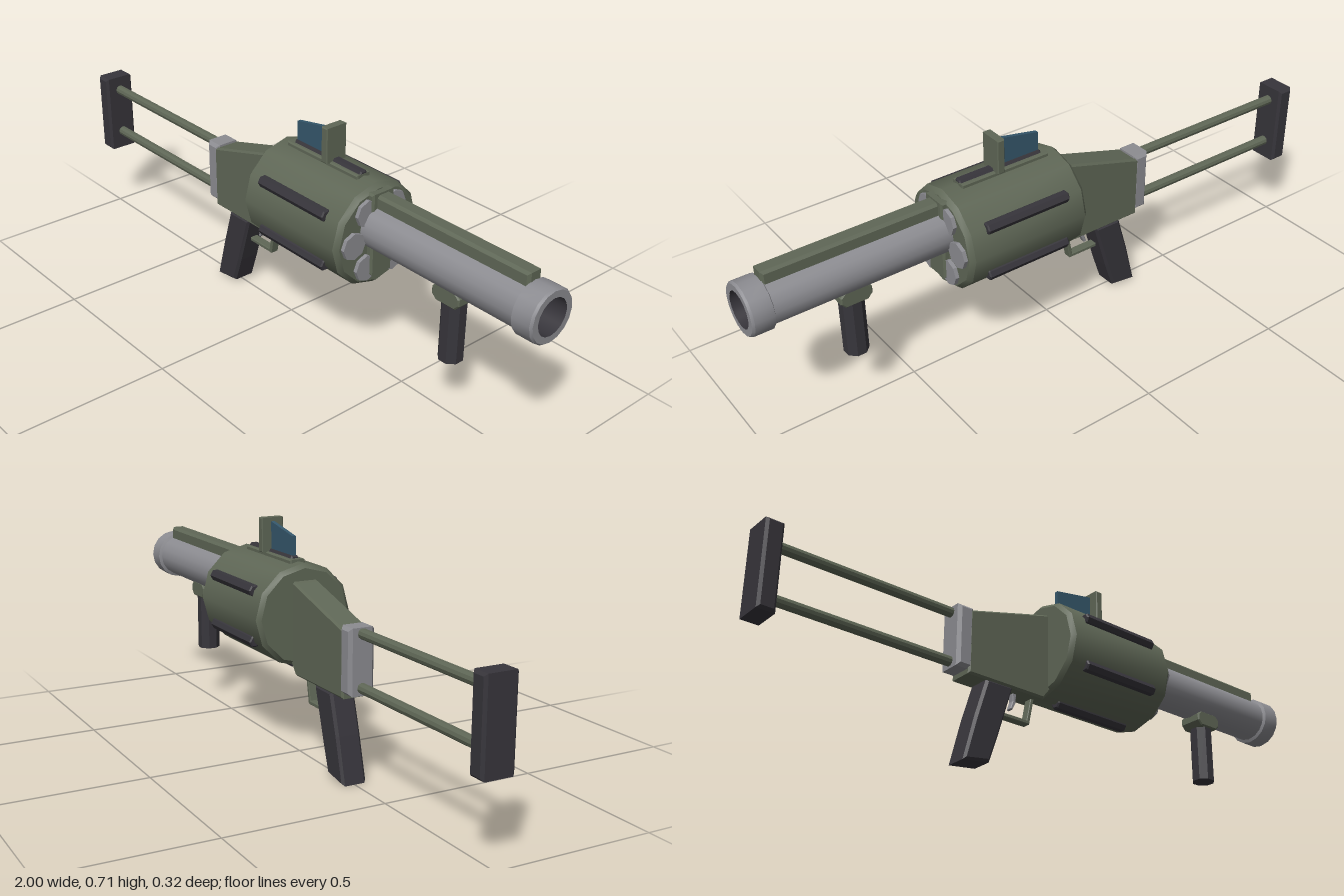
import * as THREE from 'three';
import { toCreasedNormals } from 'three/addons/utils/BufferGeometryUtils.js';

const mat = (name, color) => {
  const m = new THREE.MeshStandardMaterial({ color });
  m.name = name;
  return m;
};

export function createModel() {
  const root = new THREE.Group();
  root.name = 'launcher';
  const green = mat('olive green', 0x5f6756);
  const grey = mat('steel grey', 0x8c8c91);
  const dark = mat('dark rubber', 0x37353b);
  const glass = mat('sight blue', 0x35576b);

  const add = (name, geo, material, x = 0, y = 0, z = 0, parent = root) => {
    const m = new THREE.Mesh(geo, material);
    m.name = name;
    m.position.set(x, y, z);
    parent.add(m);
    return m;
  };

  // Solid turned around the x axis; points are [x, radius]
  const turned = (pts, sides) => {
    const g = new THREE.LatheGeometry(pts.map(([x, r]) => new THREE.Vector2(r, x)), sides);
    g.rotateZ(-Math.PI / 2);
    return toCreasedNormals(g, 0.6);
  };

  // Side profile in x/y given depth along z, with a small bevel
  const slab = (pts, width, bevel = 0.006) => {
    const shape = new THREE.Shape(pts.map(([x, y]) => new THREE.Vector2(x, y)));
    const g = new THREE.ExtrudeGeometry(shape, {
      depth: width - 2 * bevel, bevelEnabled: bevel > 0, bevelSize: bevel,
      bevelThickness: bevel, bevelOffset: -bevel, bevelSegments: 1,
    });
    g.translate(0, 0, -width / 2 + bevel);
    return g;
  };
  const block = (x0, x1, y0, y1, width, bevel) =>
    slab([[x0, y0], [x1, y0], [x1, y1], [x0, y1]], width, bevel);

  // Drum with six chambers and six grip ribs
  const drum = new THREE.Group();
  drum.name = 'drum';
  drum.position.y = 0.44;
  root.add(drum);
  add('drumBody', turned([[-0.035, 0], [-0.035, 0.147], [-0.022, 0.16], [0.365, 0.16],
    [0.38, 0.147], [0.38, 0]], 12), green, 0, 0, 0, drum);
  for (let i = 0; i < 6; i++) {
    const a = i * Math.PI / 3;
    add('chamber', turned([[0.37, 0], [0.37, 0.041], [0.392, 0.041], [0.392, 0]], 8),
      grey, 0, 0.1 * Math.sin(a), 0.1 * Math.cos(a), drum);
    // Rib: trapezoid section running along x
    const rib = slab([[-0.018, 0.148], [0.018, 0.148], [0.018, 0.16], [0.009, 0.174],
      [-0.009, 0.174], [-0.018, 0.16]], 0.285, 0.004);
    rib.rotateY(Math.PI / 2);
    add('drumRib', rib, dark, 0.172, 0, 0, drum).rotation.x = a;
  }
  add('drumFrontBracket', block(0.37, 0.398, 0.325, 0.583, 0.082), green);

  // Barrel, muzzle ring and bore
  add('barrel', turned([[0.38, 0], [0.38, 0.07], [0.94, 0.07]], 16), grey, 0, 0.473);
  add('muzzle', turned([[0.93, 0.068], [0.935, 0.08], [0.993, 0.08], [1, 0.075], [1, 0.055]], 16),
    grey, 0, 0.473);
  add('bore', turned([[1, 0.055], [0.9, 0.055], [0.9, 0]].map(([x, r]) => [x, r]), 24),
    dark, 0, 0.473);
  add('topRail', block(0.385, 0.937, 0.525, 0.577, 0.05, 0.008), green);

  // Foregrip
  add('foregripMount', slab([[0.63, 0.405], [0.63, 0.384], [0.645, 0.368], [0.715, 0.368],
    [0.73, 0.384], [0.73, 0.405], [0.715, 0.42], [0.645, 0.42]], 0.08, 0.004), green);
  const foregrip = new THREE.CylinderGeometry(0.037, 0.037, 0.19, 8).toNonIndexed();
  foregrip.rotateY(Math.PI / 8);
  foregrip.computeVertexNormals();
  add('foregrip', foregrip, dark, 0.68, 0.278);

  // Receiver, rear grip and trigger
  add('receiver', slab([[-0.33, 0.262], [-0.05, 0.262], [-0.02, 0.3], [-0.02, 0.552],
    [-0.05, 0.545], [-0.33, 0.465]], 0.084), green);
  add('rearGrip', slab([[-0.336, 0], [-0.245, 0.012], [-0.215, 0.1], [-0.165, 0.265],
    [-0.262, 0.265], [-0.3, 0.14]], 0.08, 0.008), dark);
  const guard = new THREE.Group();
  guard.name = 'triggerGuard';
  root.add(guard);
  add('guardBottom', block(-0.188, -0.083, 0.178, 0.19, 0.028, 0.002), green, 0, 0, 0, guard);
  add('guardFront', slab([[-0.095, 0.178], [-0.083, 0.178], [-0.066, 0.265], [-0.078, 0.265]],
    0.028, 0.002), green, 0, 0, 0, guard);
  add('trigger', slab([[-0.152, 0.212], [-0.144, 0.21], [-0.132, 0.235], [-0.13, 0.265],
    [-0.145, 0.265], [-0.143, 0.238]], 0.02, 0.002), grey);

  // Stock: collar, two rods and butt pad
  add('stockCollar', block(-0.37, -0.315, 0.277, 0.476, 0.084, 0.01), grey);
  for (const y of [0.3, 0.458]) {
    add('stockRod', turned([[-0.96, 0], [-0.96, 0.016], [-0.35, 0.016], [-0.35, 0]], 10),
      green, 0, y);
  }
  add('buttPad', block(-1, -0.945, 0.238, 0.506, 0.102, 0.008), dark);

  // Sight: base, upright plate and side fin
  add('sightBase', block(0.01, 0.315, 0.585, 0.606, 0.05, 0.004), green);
  add('sightPlate', block(0.175, 0.2, 0.603, 0.712, 0.075, 0.003), green);
  add('sightFin', slab([[0.035, 0.6], [0.178, 0.6], [0.178, 0.7], [0.035, 0.673]], 0.012, 0), glass);

  return root;
}
